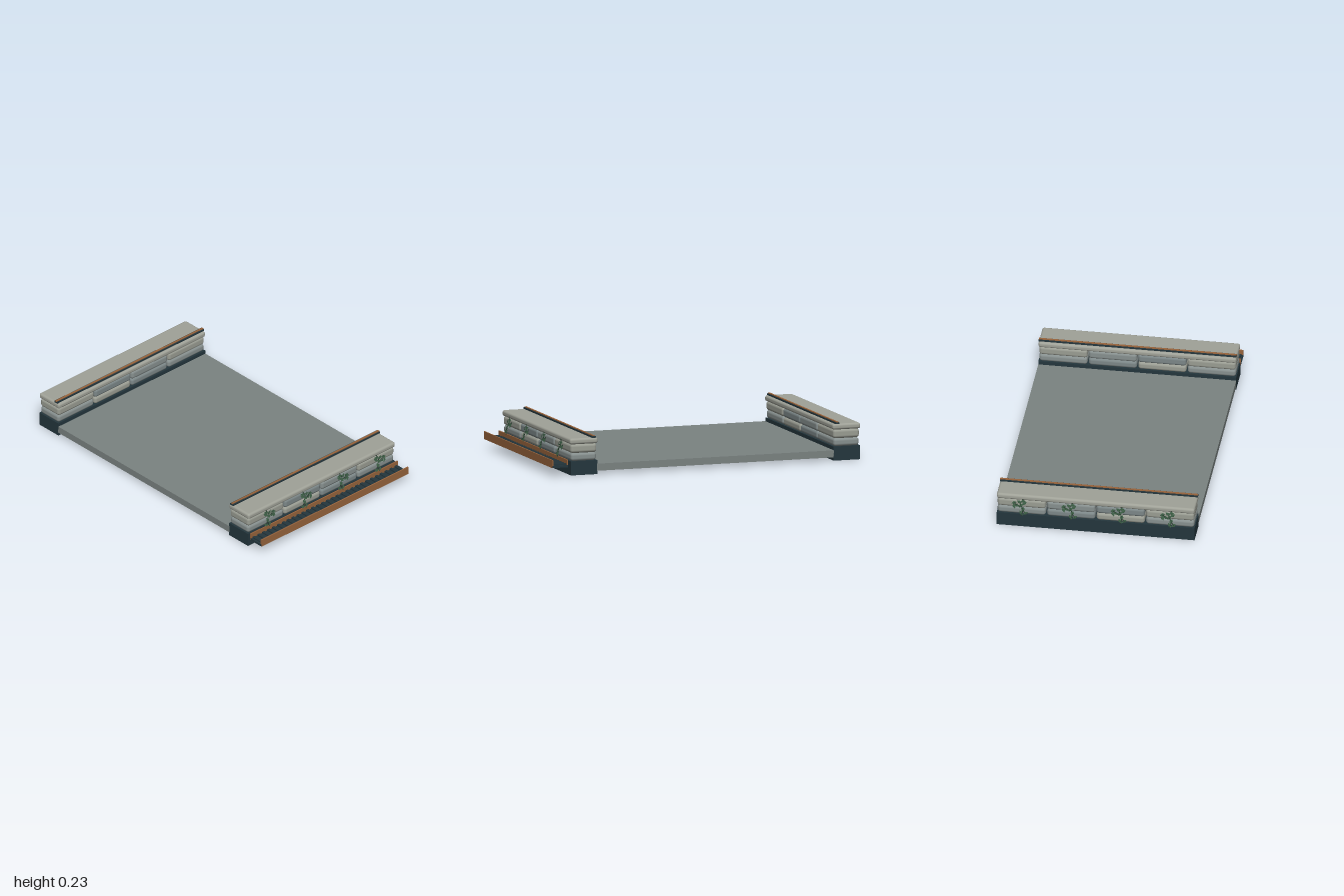
import * as THREE from 'three';
import { RoundedBoxGeometry } from 'three/addons/geometries/RoundedBoxGeometry.js';

const mat = (color, side = THREE.FrontSide) => new THREE.MeshStandardMaterial({ color, side });
const LENGTH = 1.2;
const MID = -0.043; // the two walls mirror about this x

export function createModel() {
  const model = new THREE.Group();
  model.name = 'bridgeSection';
  const slate = mat(0x24363d), copper = mat(0x98643c), deckGrey = mat(0x7b8381);
  const capStone = mat(0xa0a298);
  const stones = [mat(0x87908f), mat(0x9a9d93), mat(0x7c8788)];
  const leafGreen = mat(0x3f6148, THREE.DoubleSide), stemGreen = mat(0x2c4233);

  const add = (parent, name, geometry, material, x, y, z = 0) => {
    const mesh = new THREE.Mesh(geometry, material);
    mesh.name = name;
    mesh.position.set(x, y, z);
    parent.add(mesh);
    return mesh;
  };
  const box = (parent, name, w, h, d, material, x, y, z = 0) =>
    add(parent, name, new THREE.BoxGeometry(w, h, d), material, x, y, z);

  // Road deck
  box(model, 'deck', 1.512, 0.043, LENGTH, deckGrey, MID, 0.0415);

  // Diamond leaf with a slight fold along its middle
  const leafGeo = new THREE.BufferGeometry();
  leafGeo.setAttribute('position', new THREE.Float32BufferAttribute([
    0, -0.017, 0, 0.004, 0, 0.011, 0, 0.017, 0, 0.004, 0, -0.011], 3));
  leafGeo.setIndex([0, 2, 1, 0, 3, 2]);
  leafGeo.computeVertexNormals();

  // Leaf placement on a vine: z, y, turn
  const leaves = [
    [0.028, 0.112, 1.1], [0.002, 0.112, -0.6], [0.012, 0.136, 0.5], [0.02, 0.172, 1.0],
    [-0.012, 0.178, -0.9], [-0.026, 0.157, -1.2], [-0.042, 0.172, 1.3], [0.0, 0.157, 0.7],
    [0.012, 0.184, 1.5], [-0.042, 0.152, -0.4],
  ];
  const vineX = y => 0.089 + (0.2 - y) * 0.25;

  function makeVine(out) {
    const vine = new THREE.Group();
    vine.name = 'vine';
    const stem = points => {
      const curve = new THREE.CatmullRomCurve3(
        points.map(([z, y]) => new THREE.Vector3(out * vineX(y), y, z)));
      add(vine, 'stem', new THREE.TubeGeometry(curve, 10, 0.0025, 5), stemGreen, 0, 0);
    };
    stem([[0.012, 0.2], [-0.004, 0.165], [0.012, 0.135], [0.004, 0.095]]);
    stem([[0, 0.15], [-0.02, 0.158], [-0.042, 0.172]]);
    stem([[0.012, 0.13], [0.02, 0.12], [0.03, 0.11]]);
    for (const [z, y, turn] of leaves) {
      const leaf = add(vine, 'leaf', leafGeo, leafGreen, out * (vineX(y) + 0.002), y, z);
      leaf.rotation.set(turn, 0, out * 0.25);
    }
    return vine;
  }

  // Side walls; out points away from the deck
  for (const out of [-1, 1]) {
    const wall = new THREE.Group();
    wall.name = out > 0 ? 'leftWall' : 'rightWall';
    wall.position.x = MID + out * 0.838;
    model.add(wall);

    box(wall, 'wallBase', 0.168, 0.085, LENGTH, slate, 0, 0.0425);

    // Two courses of rounded blocks
    [[0.084, 0.05, 0.162], [0.132, 0.056, 0.166]].forEach(([y, h, w], row) => {
      for (let i = 0; i < 4; i++) {
        add(wall, 'stoneBlock', new RoundedBoxGeometry(w, h, 0.293, 3, 0.018),
          stones[(i * 2 + row) % 3], 0, y + h / 2, -0.45 + i * 0.3);
      }
    });
    add(wall, 'coping', new RoundedBoxGeometry(0.178, 0.036, LENGTH, 3, 0.014), capStone, 0, 0.204);

    // Inner rail with a copper strip on top
    box(wall, 'rail', 0.026, 0.01, LENGTH, slate, -out * 0.061, 0.226);
    box(wall, 'railStrip', 0.013, 0.005, LENGTH, copper, -out * 0.061, 0.2325);

    for (const z of [-0.45, -0.15, 0.15, 0.45]) {
      const vine = makeVine(out);
      vine.position.z = z;
      wall.add(vine);
    }
  }

  // Cable tray outside the left wall
  const tray = new THREE.Group();
  tray.name = 'cableTray';
  model.add(tray);
  box(tray, 'trayFloor', 0.1, 0.014, LENGTH, slate, 0.947, 0.058);
  box(tray, 'trayInnerLip', 0.008, 0.044, LENGTH, copper, 0.901, 0.075);
  box(tray, 'trayOuterLip', 0.008, 0.047, LENGTH, copper, 0.995, 0.0745);
  for (let i = 0; i < 30; i++) {
    box(tray, 'traySlat', 0.086, 0.009, 0.018, slate, 0.948, 0.0685, -0.58 + i * 0.04);
  }
  return model;
}
